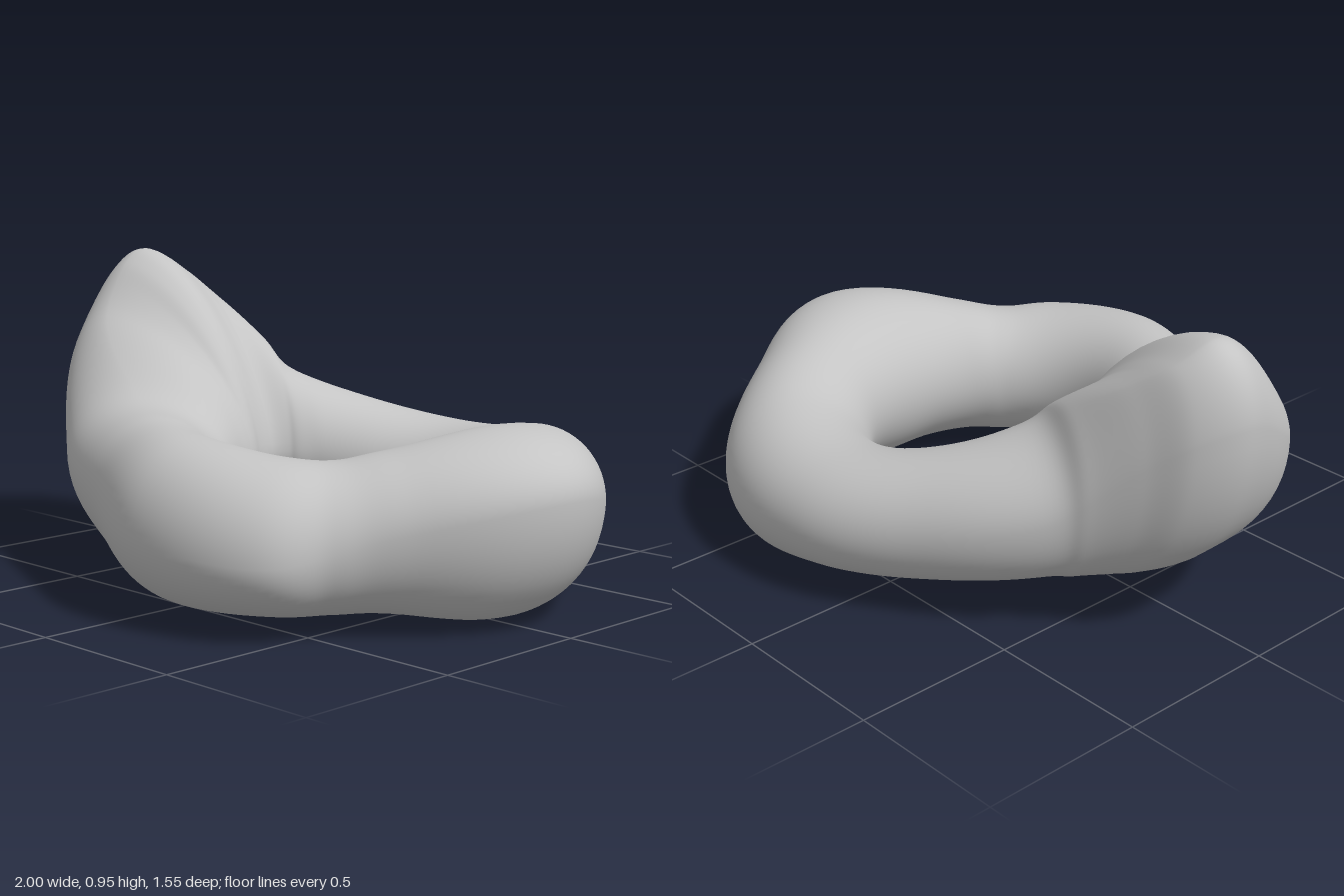
import * as THREE from 'three';

// Ring stations: angle in degrees from +x towards +z, inner radius,
// top radius and height, outer radius and height, bottom height
const STATIONS = [
  [0, 0.35, 0.63, 0.545, 0.90, 0.37, 0.015],
  [30, 0.345, 0.54, 0.49, 0.76, 0.30, 0.05],
  [45, 0.34, 0.53, 0.465, 0.745, 0.25, 0.05],
  [60, 0.335, 0.56, 0.475, 0.81, 0.22, 0.05],
  [90, 0.335, 0.56, 0.51, 0.775, 0.25, 0.045],
  [120, 0.33, 0.53, 0.52, 0.725, 0.30, 0.09],
  [150, 0.31, 0.62, 0.55, 0.85, 0.37, 0.14],
  [170, 0.32, 0.88, 0.75, 1.03, 0.58, 0.15],
  [180, 0.335, 0.95, 0.91, 1.09, 0.70, 0.15],
  [186, 0.355, 0.97, 0.95, 1.105, 0.73, 0.15],
  [192, 0.37, 0.94, 0.89, 1.05, 0.69, 0.15],
  [197, 0.38, 0.83, 0.80, 0.95, 0.60, 0.15],
  [204, 0.375, 0.66, 0.68, 0.845, 0.47, 0.15],
  [212, 0.36, 0.56, 0.575, 0.785, 0.38, 0.14],
  [240, 0.35, 0.53, 0.48, 0.72, 0.29, 0.10],
  [270, 0.36, 0.56, 0.43, 0.765, 0.24, 0.06],
  [300, 0.37, 0.60, 0.45, 0.82, 0.22, 0],
  [330, 0.375, 0.60, 0.51, 0.81, 0.29, 0.04],
];
const CENTRE_X = 0.1;
const AROUND = 180;
const SIDES = 64;

// Smooth closed interpolation of one station value
function sample(u, k) {
  const n = STATIONS.length;
  const i = Math.floor(u);
  const t = u - i;
  const at = (j) => STATIONS[(j + n) % n][k] + (k === 0 ? 360 * Math.floor(j / n) : 0);
  const a = at(i - 1), b = at(i), c = at(i + 1), d = at(i + 2);
  return b + 0.5 * t * (c - a + t * (2 * a - 5 * b + 4 * c - d + t * (3 * (b - c) + d - a)));
}

// Closed section of four quarter arcs through its inner, top, outer and bottom extremes;
// the inner slope of the tall lobe is flatter than an ellipse
function sectionPoints([, rIn, rTop, yTop, rOut, yOut, yBottom]) {
  const extremes = [
    [rIn, Math.min((yTop + yBottom) / 2, 0.34)],
    [rTop, yTop],
    [rOut, yOut],
    [Math.min(rIn + 0.55 * (rOut - rIn), 0.63), yBottom],
  ];
  const slope = 1 + THREE.MathUtils.clamp(yTop - 0.55, 0, 0.3);
  const points = [];
  for (let j = 0; j < SIDES; j++) {
    const q = Math.floor((j * 4) / SIDES);
    const a = ((j * 4) / SIDES - q) * Math.PI / 2;
    const e = q === 0 ? slope : 1;
    const p = extremes[q];
    const n = extremes[(q + 1) % 4];
    const k = q % 2 === 0 ? [n[0], p[1]] : [p[0], n[1]];
    const c = Math.cos(a) ** e;
    const w = Math.sin(a) ** e;
    points.push([0, 1].map((x) => k[x] + c * (p[x] - k[x]) + w * (n[x] - k[x])));
  }
  return points;
}

function ringGeometry() {
  const positions = [];
  const indices = [];
  for (let i = 0; i < AROUND; i++) {
    const u = (i / AROUND) * STATIONS.length;
    const s = STATIONS[0].map((_, k) => sample(u, k));
    const angle = THREE.MathUtils.degToRad(s[0]);
    const i2 = (i + 1) % AROUND;
    sectionPoints(s).forEach(([r, y], j) => {
      positions.push(CENTRE_X + r * Math.cos(angle), y, r * Math.sin(angle));
      const j2 = (j + 1) % SIDES;
      const a = i * SIDES + j, b = i2 * SIDES + j;
      const c = i2 * SIDES + j2, d = i * SIDES + j2;
      indices.push(a, b, c, a, c, d);
    });
  }
  const geometry = new THREE.BufferGeometry();
  geometry.setAttribute('position', new THREE.Float32BufferAttribute(positions, 3));
  geometry.setIndex(indices);
  geometry.computeVertexNormals();
  return geometry;
}

export function createModel() {
  const group = new THREE.Group();
  group.name = 'sculptedRing';
  const grey = new THREE.MeshStandardMaterial({ color: 0xc4c4c4 });
  grey.name = 'grey';
  // Closed ring with its raised lobe
  const ring = new THREE.Mesh(ringGeometry(), grey);
  ring.name = 'ringWithRaisedLobe';
  group.add(ring);
  return group;
}
